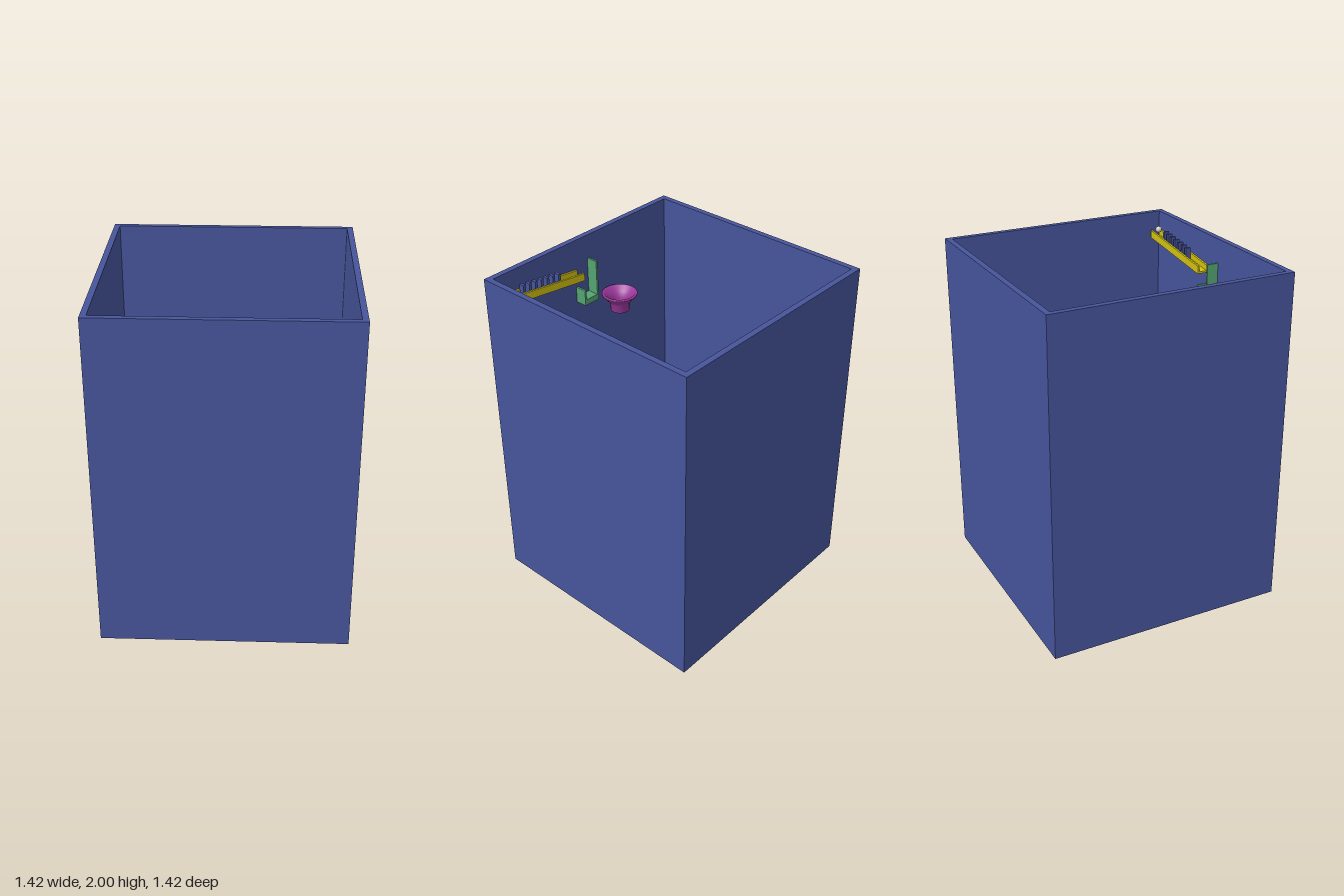
import * as THREE from 'three';

const mat = (color, flat = false) =>
  new THREE.MeshStandardMaterial({ color, flatShading: flat, side: THREE.DoubleSide });
const blue = mat(0x46549a, true), yellow = mat(0xd0c010, true), green = mat(0x55a373, true);
const purple = mat(0x9b379b), red = mat(0xaa3636), grey = mat(0xcccccc);

function add(parent, name, geometry, material, x = 0, y = 0, z = 0) {
  const mesh = new THREE.Mesh(geometry, material);
  mesh.name = name;
  mesh.position.set(x, y, z);
  parent.add(mesh);
  return mesh;
}

// U-shaped cross-section: overall width, height and wall thickness
function channelProfile(w, h, t) {
  const a = w / 2, b = a - t;
  return [[-a, 0], [a, 0], [a, h], [b, h], [b, t], [-b, t], [-b, h], [-a, h]]
    .map(p => new THREE.Vector2(...p));
}

// Sweeps a closed profile along points while keeping it upright
function sweep(profile, points) {
  const n = profile.length, last = points.length - 1, pos = [], index = [];
  points.forEach((p, i) => {
    const t = points[Math.min(i + 1, last)].clone().sub(points[Math.max(i - 1, 0)]);
    const side = new THREE.Vector3(-t.z, 0, t.x).normalize();
    for (const q of profile) pos.push(p.x + side.x * q.x, p.y + q.y, p.z + side.z * q.x);
  });
  for (let i = 0; i < last; i++) {
    for (let j = 0; j < n; j++) {
      const a = i * n + j, b = i * n + (j + 1) % n;
      index.push(a, a + n, b, a + n, b + n, b);
    }
  }
  for (const [a, b, c] of THREE.ShapeUtils.triangulateShape(profile, [])) {
    index.push(a, b, c, last * n + a, last * n + c, last * n + b);
  }
  const g = new THREE.BufferGeometry();
  g.setAttribute('position', new THREE.Float32BufferAttribute(pos, 3));
  g.setIndex(index);
  const flat = g.toNonIndexed();
  flat.computeVertexNormals();
  return flat;
}

// Closed tube looping as a figure eight in plan
class FigureEight extends THREE.Curve {
  getPoint(u, target = new THREE.Vector3()) {
    const t = u * Math.PI * 2;
    return target.set(0.097 * Math.cos(t), 0.097 * Math.sin(t), -0.055 * Math.sin(2 * t));
  }
}

export function createModel() {
  const model = new THREE.Group();
  model.name = 'marbleRun';
  const V = (x, y, z) => new THREE.Vector3(x, y, z);

  // Square housing, open above and below
  const square = (s) => [[-s, -s], [s, -s], [s, s], [-s, s]].map(p => new THREE.Vector2(...p));
  const wall = new THREE.Shape(square(0.712));
  wall.holes.push(new THREE.Path(square(0.678)));
  const housing = new THREE.ExtrudeGeometry(wall, { depth: 2, bevelEnabled: false });
  add(model, 'housing', housing.rotateX(-Math.PI / 2), blue);

  // Sloping upper and lower rails
  const railProfile = channelProfile(0.07, 0.045, 0.012);
  add(model, 'upperRail', sweep(railProfile, [V(0.08, 1.775, 0.64), V(0.65, 1.848, 0.64)]), yellow);
  add(model, 'lowerRail', sweep(railProfile, [V(-0.295, 0.49, 0.565), V(0.1, 0.55, 0.565)]), yellow);

  // Marble and the row of standing tiles on the upper rail
  add(model, 'marble', new THREE.SphereGeometry(0.019, 24, 16), grey, 0.61, 1.905, 0.637);
  for (let i = 0; i < 7; i++) {
    const x = 0.257 + i * 0.043;
    add(model, 'tile', new THREE.BoxGeometry(0.017, 0.075, 0.032), blue,
      x, 1.845 + (x - 0.257) * 0.128, 0.637);
  }

  // Catch tray with a tall stop and a low lip
  const tray = new THREE.Group();
  tray.name = 'catchTray';
  add(tray, 'trayFloor', new THREE.BoxGeometry(0.11, 0.035, 0.07), green, 0.03, 1.63, 0.64);
  add(tray, 'trayStop', new THREE.BoxGeometry(0.012, 0.245, 0.07), green, -0.019, 1.737, 0.64);
  add(tray, 'trayLip', new THREE.BoxGeometry(0.012, 0.08, 0.07), green, 0.079, 1.67, 0.64);
  model.add(tray);

  // Hollow funnel
  const funnel = [[0.045, -0.11], [0.045, -0.06], [0.068, -0.03], [0.09, 0], [0.105, 0],
    [0.105, -0.008], [0.08, -0.035], [0.056, -0.065], [0.056, -0.11], [0.045, -0.11]];
  add(model, 'funnel', new THREE.LatheGeometry(funnel.map(p => new THREE.Vector2(...p)), 40),
    purple, -0.157, 1.615, 0.565);

  // Looping tube
  add(model, 'loopTube', new THREE.TubeGeometry(new FigureEight(), 120, 0.027, 16, true),
    red, 0.11, 0.85, 0.535);

  // Zigzag chute descending to the back
  const turns = [[-0.27, 0.56], [-0.285, 0.46], [-0.25, 0.41], [0, 0.403], [0.045, 0.365],
    [-0.12, 0.085], [-0.08, 0.067], [0.2, 0.075], [0.245, 0.045], [0.105, -0.215],
    [0.14, -0.26], [0.32, -0.255]];
  const path = new THREE.CatmullRomCurve3(
    turns.map(([x, z], i) => V(x, 0.405 - i * 0.0095, z)), false, 'centripetal');
  add(model, 'zigzagChute', sweep(channelProfile(0.085, 0.06, 0.012), path.getPoints(88)), blue);

  return model;
}
